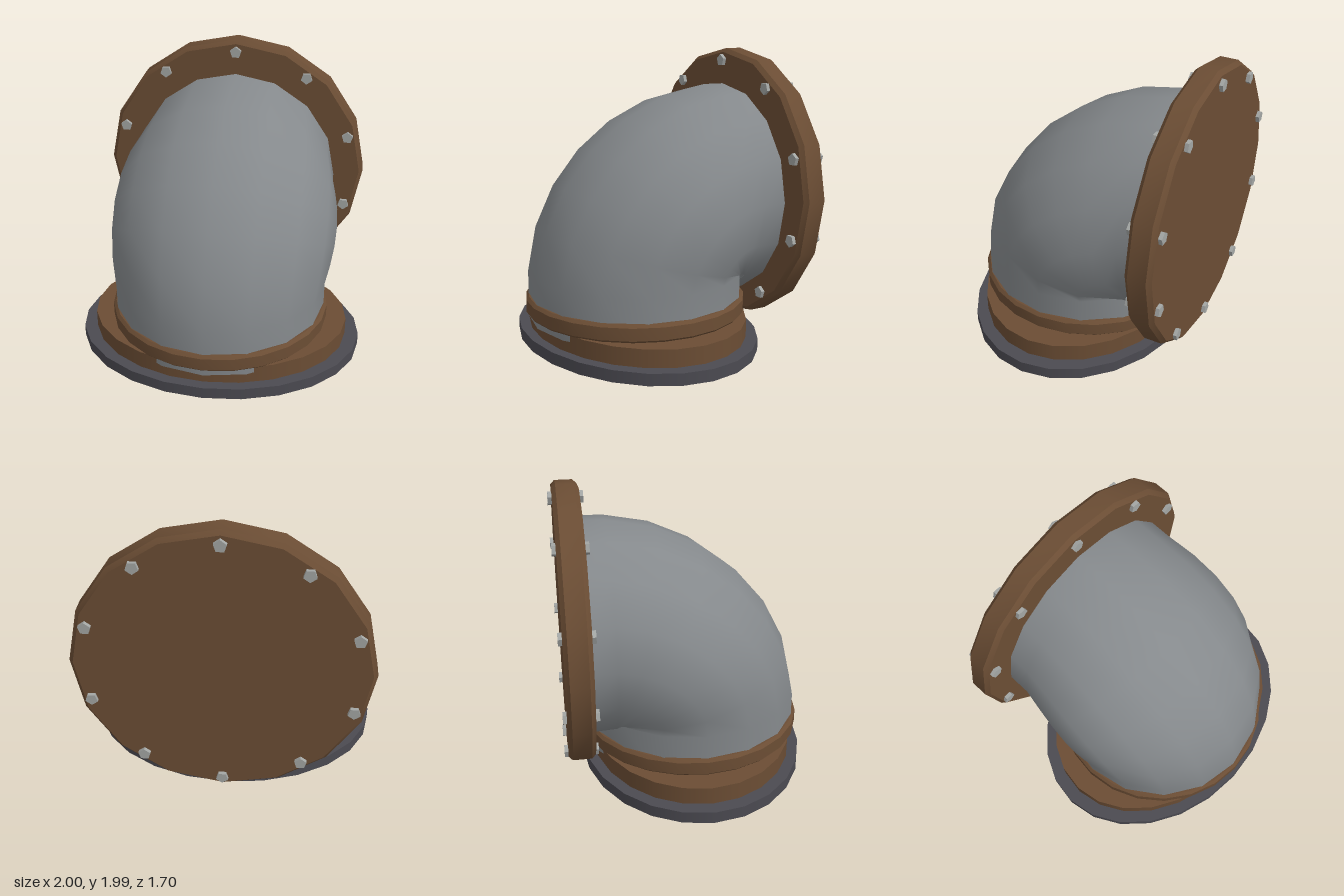
import * as THREE from 'three';
import { toCreasedNormals } from 'three/addons/utils/BufferGeometryUtils.js';

const paint = (name, color) => {
  const m = new THREE.MeshStandardMaterial({ color });
  m.name = name;
  return m;
};

// Pipe elbow: rings of 16 points swept from pointing up to pointing back
function elbowGeometry() {
  const sides = 16, rings = [];
  const addRing = (t, y, z) => {
    const bulge = Math.sin(2 * t);
    rings.push({ t, y, z, deep: 0.742 - 0.056 * bulge, wide: 0.742 + 0.058 * bulge });
  };
  addRing(0, 0.155, 0.065);
  for (let i = 0; i <= 6; i++) {
    const t = (i * Math.PI) / 12;
    addRing(t, 0.48 + 0.515 * Math.sin(t), -0.5 + 0.565 * Math.cos(t));
  }
  addRing(Math.PI / 2, 0.995, -0.7);

  const pos = [], index = [];
  rings.forEach((r, i) => {
    for (let j = 0; j < sides; j++) {
      const a = (j / sides) * Math.PI * 2, out = r.deep * Math.cos(a);
      pos.push(r.wide * Math.sin(a), r.y + out * Math.sin(r.t), r.z + out * Math.cos(r.t));
      if (i === rings.length - 1) continue;
      const k = (j + 1) % sides, p = i * sides, q = p + sides;
      index.push(p + j, p + k, q + j, p + k, q + k, q + j);
    }
  });
  const g = new THREE.BufferGeometry();
  g.setAttribute('position', new THREE.Float32BufferAttribute(pos, 3));
  g.setIndex(index);
  g.computeVertexNormals();
  return g;
}

// Turned part with sharp chamfer edges
function turned(profile, sides) {
  const points = profile.map(([r, y]) => new THREE.Vector2(r, y));
  return toCreasedNormals(new THREE.LatheGeometry(points, sides), 0.5);
}

export function createModel() {
  const group = new THREE.Group();
  const steel = paint('pipe grey', 0x85898c);
  const rust = paint('rust brown', 0x6b4d34);
  const dark = paint('dark base grey', 0x4b4a51);
  const bright = paint('bolt grey', 0xa3a6a4);
  steel.side = THREE.DoubleSide;

  const add = (name, geometry, material, x = 0, y = 0, z = 0) => {
    const mesh = new THREE.Mesh(geometry, material);
    mesh.name = name;
    mesh.position.set(x, y, z);
    group.add(mesh);
    return mesh;
  };

  // Oval base plate and the step on it
  const cz = 0.065;
  add('basePlate', new THREE.CylinderGeometry(1, 1, 0.08, 24), dark, 0, 0.04, cz).scale.z = 0.78;
  add('baseStep', new THREE.CylinderGeometry(0.905, 0.905, 0.13, 24), rust, 0, 0.135, cz).scale.z = 0.785;

  // Elbow with its closed lower end
  add('elbowPipe', elbowGeometry(), steel);
  const cap = new THREE.CircleGeometry(0.742, 16).rotateX(Math.PI / 2);
  add('pipeBottom', cap, steel, 0, 0.155, cz);

  // Collar around the foot of the pipe
  const collar = [[0.68, 0.2], [0.75, 0.2], [0.765, 0.215], [0.765, 0.3], [0.745, 0.32], [0.68, 0.32]];
  add('collar', turned(collar, 24), rust, 0, 0, cz);

  // Chamfered flange closing the back of the pipe
  const flange = [[0, -0.0875], [0.928, -0.0875], [0.955, -0.06], [0.955, 0.06], [0.928, 0.0875], [0, 0.0875]];
  add('flange', turned(flange, 16).rotateX(Math.PI / 2), rust, 0, 1.03, -0.7425);

  // Bolts through the flange
  const bolt = toCreasedNormals(new THREE.CylinderGeometry(0.042, 0.042, 0.225, 5), 0.5).rotateX(-Math.PI / 2);
  for (let i = 0; i < 10; i++) {
    const a = (i / 10) * Math.PI * 2;
    add('flangeBolt', bolt, bright, 0.87 * Math.sin(a), 1.03 + 0.87 * Math.cos(a), -0.7425).rotation.z = -a;
  }
  return group;
}
